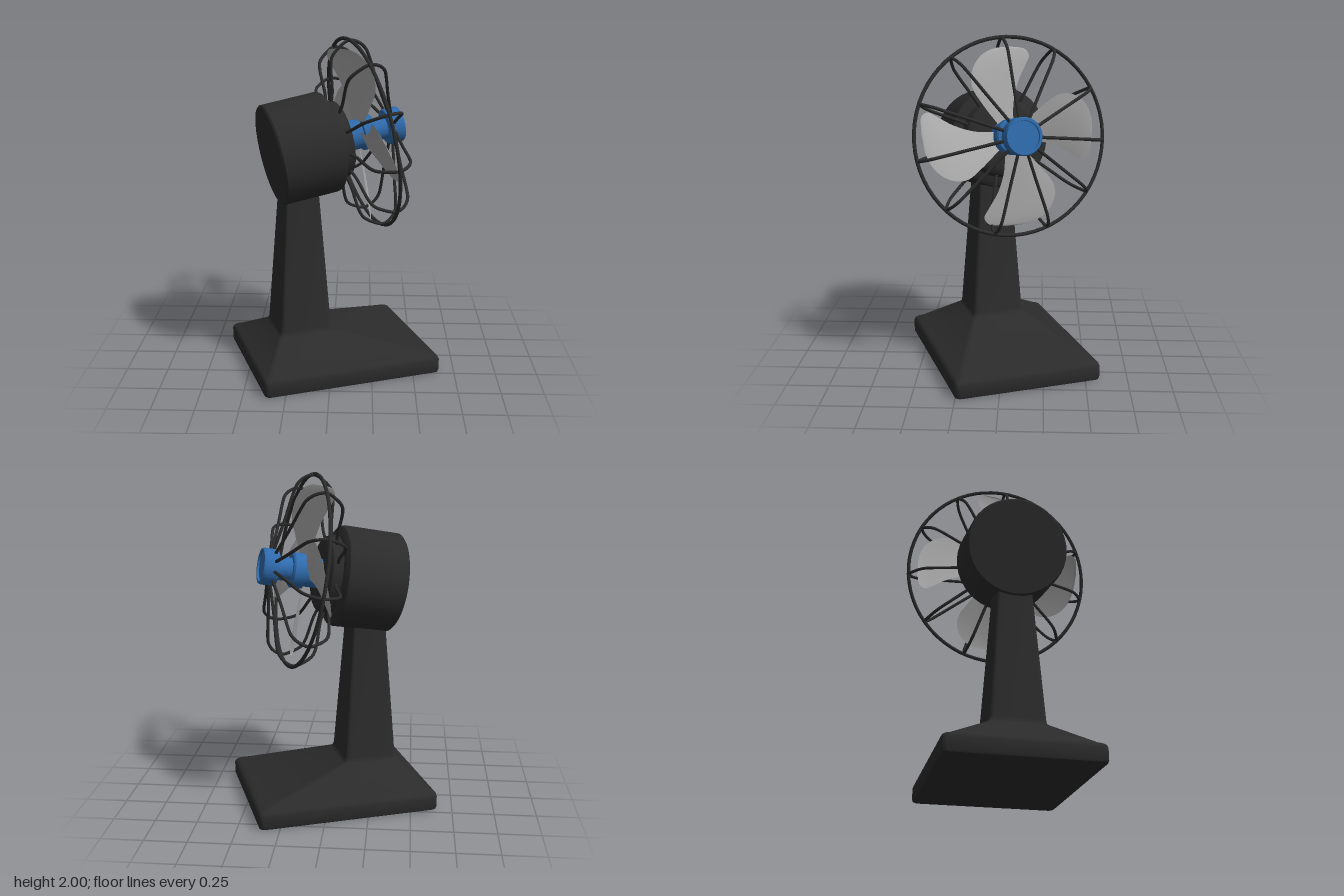
import * as THREE from 'three';
import { toCreasedNormals } from 'three/addons/utils/BufferGeometryUtils.js';
import { ParametricGeometry } from 'three/addons/geometries/ParametricGeometry.js';

const dark = new THREE.MeshStandardMaterial({ color: 0x2b2b2b });
const blue = new THREE.MeshStandardMaterial({ color: 0x2f6bad });
const grey = new THREE.MeshStandardMaterial({ color: 0xaaaaaa, side: THREE.DoubleSide });

function addMesh(parent, name, geometry, material) {
  const mesh = new THREE.Mesh(geometry, material);
  mesh.name = name;
  parent.add(mesh);
  return mesh;
}

// Lathe turned around the x axis; profile points are [along, radius]
function turned(profile, segments) {
  const g = new THREE.LatheGeometry(profile.map(([s, r]) => new THREE.Vector2(r, s)), segments);
  return toCreasedNormals(g.rotateZ(-Math.PI / 2), 0.5);
}

// Loft of rounded rectangles; sections are [y, centreX, halfX, halfZ, cornerRadius]
function loft(sections) {
  const steps = 4, n = 4 * (steps + 1), pos = [], index = [];
  for (const [y, cx, hx, hz, rc] of sections) {
    for (let c = 0; c < 4; c++) {
      const sx = c === 0 || c === 3 ? 1 : -1, sz = c < 2 ? 1 : -1;
      for (let k = 0; k <= steps; k++) {
        const a = (c + k / steps) * Math.PI / 2;
        pos.push(cx + sx * (hx - rc) + rc * Math.cos(a), y, sz * (hz - rc) + rc * Math.sin(a));
      }
    }
  }
  for (let i = 0; i < sections.length - 1; i++) {
    for (let j = 0; j < n; j++) {
      const a = i * n + j, b = i * n + (j + 1) % n;
      index.push(a, a + n, b, b, a + n, b + n);
    }
  }
  const g = new THREE.BufferGeometry();
  g.setAttribute('position', new THREE.Float32BufferAttribute(pos, 3));
  g.setIndex(index);
  return toCreasedNormals(g, 0.7);
}

// Paddle blade pointing up (+y), pitched so its +z edge leans forward (+x)
function bladeGeometry() {
  const edge = pts => new THREE.CatmullRomCurve3(pts.map(([u, r]) => new THREE.Vector3(0, r, u)));
  const trailing = edge([[-0.03, 0.07], [-0.04, 0.2], [-0.08, 0.32], [-0.14, 0.42],
    [-0.163, 0.465], [-0.14, 0.503], [-0.04, 0.518]]);
  const leading = edge([[0.07, 0.07], [0.175, 0.2], [0.23, 0.29], [0.225, 0.38],
    [0.17, 0.46], [0.08, 0.505], [-0.04, 0.518]]);
  return new ParametricGeometry((u, v, target) => {
    target.lerpVectors(trailing.getPoint(v), leading.getPoint(v), u);
    target.x = 0.34 * target.z + 0.04 * u * (1 - u) * Math.sin(Math.PI * v);
  }, 10, 28);
}

export function createModel() {
  const model = new THREE.Group();
  model.name = 'deskFan';
  const body = new THREE.Group();
  body.name = 'body';
  body.rotation.y = THREE.MathUtils.degToRad(20);
  body.position.z = 0.012;
  model.add(body);

  // Sloped base flowing into the tapered column
  const colX = -0.211;
  addMesh(body, 'baseAndColumn', loft([
    [0, 0, 0, 0, 0],
    [0, 0, 0.533, 0.43, 0.025],
    [0.006, 0, 0.543, 0.44, 0.03],
    [0.018, 0, 0.547, 0.444, 0.03],
    [0.085, 0, 0.547, 0.444, 0.03],
    [0.1, -0.001, 0.542, 0.439, 0.03],
    [0.11, -0.003, 0.53, 0.427, 0.03],
    [0.117, -0.006, 0.51, 0.41, 0.03],
    [0.242, colX + 0.004, 0.174, 0.17, 0.025],
    [0.255, colX + 0.002, 0.163, 0.161, 0.025],
    [0.275, colX, 0.158, 0.158, 0.025],
    [1.2, colX, 0.094, 0.094, 0.015],
    [1.2, colX, 0, 0, 0],
  ]), dark);

  // Head: the fan axis runs along +x, tilted upward
  const head = new THREE.Group();
  head.name = 'head';
  head.position.set(-0.378, 1.325, 0);
  head.rotation.z = THREE.MathUtils.degToRad(10);
  body.add(head);

  addMesh(head, 'motorHousing', turned([
    [0, 0], [0, 0.29], [0.01, 0.3], [0.34, 0.302], [0.362, 0.295], [0.375, 0.275],
    [0.385, 0.24], [0.44, 0.225], [0.455, 0.205], [0.46, 0.18], [0.46, 0],
  ], 40), dark);

  // Hub: rear sleeve, collar, thin shaft and recessed end cap
  addMesh(head, 'hub', turned([
    [0.45, 0], [0.45, 0.09], [0.56, 0.09], [0.565, 0.105], [0.63, 0.105], [0.64, 0.095],
    [0.64, 0.07], [0.72, 0.07], [0.725, 0.103], [0.735, 0.108], [0.808, 0.108], [0.818, 0.103],
    [0.818, 0.089], [0.806, 0.087], [0.806, 0],
  ], 28), blue);

  // Four blades
  const blade = bladeGeometry();
  for (let i = 0; i < 4; i++) {
    const mesh = addMesh(head, 'blade', blade, grey);
    mesh.position.x = 0.545;
    mesh.rotation.x = i * Math.PI / 2;
  }

  // Guard: outer ring and bent wires running from motor to end cap
  const ring = new THREE.TorusGeometry(0.57, 0.011, 8, 64).rotateY(Math.PI / 2);
  addMesh(head, 'guardRing', ring, dark).position.x = 0.575;
  const path = new THREE.CatmullRomCurve3([
    [0.41, 0.21], [0.43, 0.28], [0.448, 0.45], [0.465, 0.495], [0.52, 0.54], [0.575, 0.564],
    [0.635, 0.54], [0.672, 0.495], [0.685, 0.45], [0.715, 0.28], [0.755, 0.09],
  ].map(([s, r]) => new THREE.Vector3(s, 0, -r)));
  const wire = new THREE.TubeGeometry(path, 48, 0.0095, 8);
  const count = 11;
  for (let i = 0; i < count; i++) {
    addMesh(head, 'guardWire', wire, dark).rotation.x = -0.09 + i * 2 * Math.PI / count;
  }
  return model;
}
